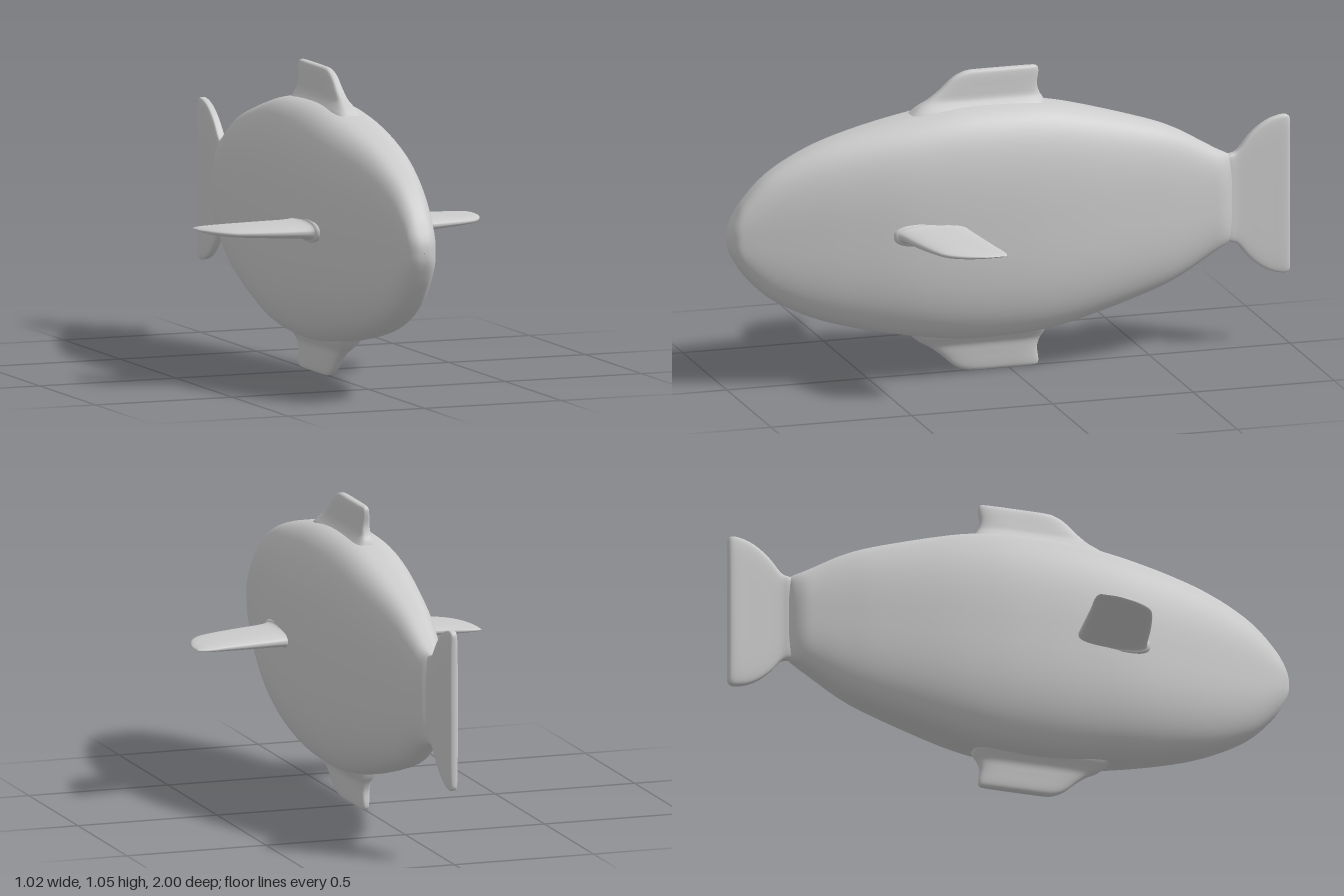
import * as THREE from 'three';

const MID = 0.53; // height of the body axis
const material = new THREE.MeshStandardMaterial({ color: 0xcccccc });

// Catmull-Rom blend of four numbers
const blend = (a, b, c, d, t) =>
  b + 0.5 * t * (c - a + t * (2 * a - 5 * b + 4 * c - d + t * (3 * (b - c) + d - a)));

// Smoothly refine a list of stations [position, low edge, high edge, half thickness]
function refine(stations, steps) {
  const at = (i) => stations[Math.min(Math.max(i, 0), stations.length - 1)];
  const out = [];
  for (let i = 0; i < stations.length - 1; i++) {
    for (let k = 0; k < steps; k++) {
      out.push(at(i).map((v, c) => blend(at(i - 1)[c], v, at(i + 1)[c], at(i + 2)[c], k / steps)));
    }
  }
  out.push(at(stations.length - 1));
  return out;
}

// Loft superellipse sections; place(s, u, v) puts each section point in space
function loft(name, stations, power, place, sides = 48, steps = 4) {
  const rings = refine(stations, steps);
  const round = (v) => Math.sign(v) * Math.abs(v) ** (2 / power);
  const positions = [];
  const index = [];
  rings.forEach(([s, low, high, half], i) => {
    for (let j = 0; j < sides; j++) {
      const angle = ((j + 0.5) / sides) * Math.PI * 2;
      const u = (low + high) / 2 + ((high - low) / 2) * round(Math.cos(angle));
      positions.push(...place(s, u, Math.max(half, 0) * round(Math.sin(angle))));
      if (i === 0) continue;
      const a = (i - 1) * sides + j;
      const b = (i - 1) * sides + ((j + 1) % sides);
      index.push(a, b, b + sides, a, b + sides, a + sides);
    }
  });
  const geometry = new THREE.BufferGeometry();
  geometry.setAttribute('position', new THREE.Float32BufferAttribute(positions, 3));
  geometry.setIndex(index);
  geometry.computeVertexNormals();
  const mesh = new THREE.Mesh(geometry, material);
  mesh.name = name;
  return mesh;
}

export function createModel() {
  const model = new THREE.Group();
  model.name = 'fish';
  const lengthwise = (s, u, v) => [v, MID + u, s];

  // Body from nose to tail root: [z, half height, half width]
  const body = [
    [1, 0.002, 0.002], [0.995, 0.035, 0.026], [0.975, 0.078, 0.05], [0.94, 0.132, 0.062],
    [0.86, 0.212, 0.081], [0.74, 0.28, 0.108], [0.6, 0.33, 0.136], [0.4, 0.376, 0.167],
    [0.2, 0.406, 0.177], [0, 0.408, 0.174], [-0.15, 0.393, 0.163], [-0.3, 0.357, 0.145],
    [-0.5, 0.297, 0.112], [-0.6, 0.256, 0.092], [-0.69, 0.204, 0.073], [-0.74, 0.175, 0.061],
    [-0.77, 0.16, 0.043], [-0.785, 0.15, 0.025], [-0.8, 0.13, 0.012], [-0.8, 0, 0],
  ].map(([z, h, w]) => [z, -h, h, w]);
  model.add(loft('body', body, 2.8, lengthwise, 64));

  // Tail fin fanning out behind the body: [z, half height, half thickness]
  const tail = [
    [-0.74, 0.14, 0.02], [-0.78, 0.152, 0.023], [-0.81, 0.163, 0.019], [-0.85, 0.21, 0.018],
    [-0.89, 0.245, 0.018], [-0.93, 0.267, 0.018], [-0.97, 0.277, 0.018], [-0.99, 0.275, 0.016],
    [-0.998, 0.265, 0.01], [-1, 0.255, 0],
  ].map(([z, h, w]) => [z, -h, h, w]);
  model.add(loft('tailFin', tail, 6, lengthwise));

  // Upright fins above and below: [y, back z, front z, half thickness]
  const upright = [
    [0.87, -0.15, 0.4, 0.065], [0.915, -0.13, 0.35, 0.055], [0.94, -0.12, 0.32, 0.038],
    [0.96, -0.108, 0.285, 0.027], [0.99, -0.1, 0.245, 0.023], [1.03, -0.105, 0.2, 0.019],
    [1.048, -0.103, 0.165, 0.015], [1.054, -0.092, 0.14, 0.008], [1.055, -0.08, 0.12, 0],
  ];
  model.add(loft('dorsalFin', upright, 4, (s, u, v) => [v, s, u]));
  model.add(loft('bellyFin', upright, 4, (s, u, v) => [-v, 1.055 - s, u]));

  // Side fins: [distance from centre, back z, front z, half thickness]
  const side = [
    [0.1, 0.18, 0.47, 0.05], [0.165, 0.194, 0.455, 0.042], [0.185, 0.193, 0.438, 0.028],
    [0.3, 0.18, 0.413, 0.022], [0.4, 0.168, 0.385, 0.017], [0.45, 0.16, 0.36, 0.013],
    [0.485, 0.158, 0.31, 0.009], [0.505, 0.163, 0.25, 0.004], [0.51, 0.17, 0.22, 0],
  ];
  for (const [name, sign] of [['leftFin', 1], ['rightFin', -1]]) {
    model.add(loft(name, side, 2.6, (s, u, v) => [sign * s, 0.535 - sign * v, u]));
  }
  return model;
}
